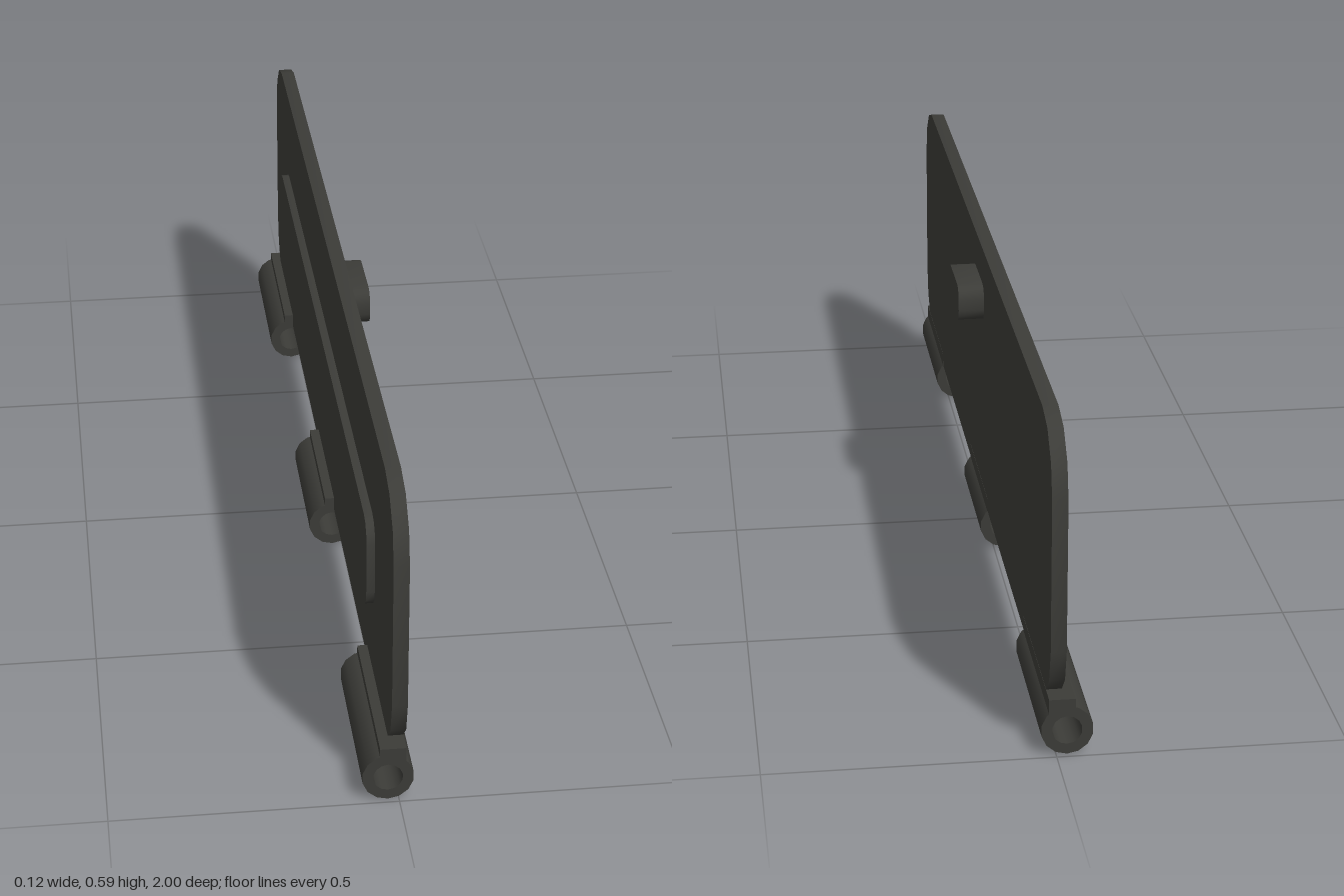
import * as THREE from 'three';
import { toCreasedNormals } from 'three/addons/utils/BufferGeometryUtils.js';

const material = new THREE.MeshStandardMaterial({ color: 0x3c3c38 });

function addExtrusion(parent, name, shape, depth) {
  const solid = new THREE.ExtrudeGeometry(shape, { depth, bevelEnabled: false });
  const mesh = new THREE.Mesh(toCreasedNormals(solid, 0.6), material);
  mesh.name = name;
  parent.add(mesh);
  return mesh;
}

// Rectangle from y0 to y1, centred across, with three facets per corner
function roundedRect(halfWidth, y0, y1, r) {
  const points = [];
  const centres = [
    [halfWidth - r, y1 - r], [r - halfWidth, y1 - r],
    [r - halfWidth, y0 + r], [halfWidth - r, y0 + r],
  ];
  centres.forEach(([cx, cy], corner) => {
    for (let i = 0; i <= 3; i++) {
      const a = (corner + i / 3) * Math.PI / 2;
      points.push(new THREE.Vector2(cx + r * Math.cos(a), cy + r * Math.sin(a)));
    }
  });
  return new THREE.Shape(points);
}

// Regular polygon with one corner pointing straight down
function ringPoints(radius, sides) {
  return Array.from({ length: sides }, (_, i) => {
    const a = -Math.PI / 2 + (i / sides) * Math.PI * 2;
    return new THREE.Vector2(radius * Math.cos(a), radius * Math.sin(a));
  });
}

// Slab facing sideways, spanning x0 to x1
function addSlab(parent, name, x0, x1, halfLength, y0, y1, r) {
  const slab = addExtrusion(parent, name, roundedRect(halfLength, y0, y1, r), x1 - x0);
  slab.rotation.y = Math.PI / 2;
  slab.position.x = x0;
}

export function createModel() {
  const model = new THREE.Group();
  model.name = 'hingedFlap';

  addSlab(model, 'flapPlate', -0.015, 0.012, 1, 0.077, 0.592, 0.12);
  addSlab(model, 'raisedPanel', -0.03, -0.015, 0.765, 0.237, 0.413, 0.04);
  addSlab(model, 'latchKnob', 0.012, 0.061, 0.083, 0.45, 0.521, 0.025);

  // Three hinge knuckles: an open barrel with a tab gripping the plate
  const barrel = new THREE.Shape(ringPoints(0.045, 14));
  barrel.holes.push(new THREE.Path(ringPoints(0.026, 14)));
  const knuckles = [
    ['leftFrontHinge', 0.666, 0.99],
    ['middleHinge', -0.14, 0.14],
    ['rearHinge', -0.99, -0.666],
  ];
  knuckles[0][0] = 'frontHinge';
  for (const [name, z0, z1] of knuckles) {
    const hinge = new THREE.Group();
    hinge.name = name;
    hinge.position.z = z0;
    const tube = addExtrusion(hinge, 'hingeBarrel', barrel, z1 - z0);
    tube.position.set(-0.019, 0.045, 0);

    const tab = new THREE.Mesh(new THREE.BoxGeometry(0.0455, 0.027, z1 - z0), material);
    tab.name = 'hingeTab';
    tab.position.set(-0.0103, 0.0895, (z1 - z0) / 2);
    hinge.add(tab);
    model.add(hinge);
  }
  return model;
}
